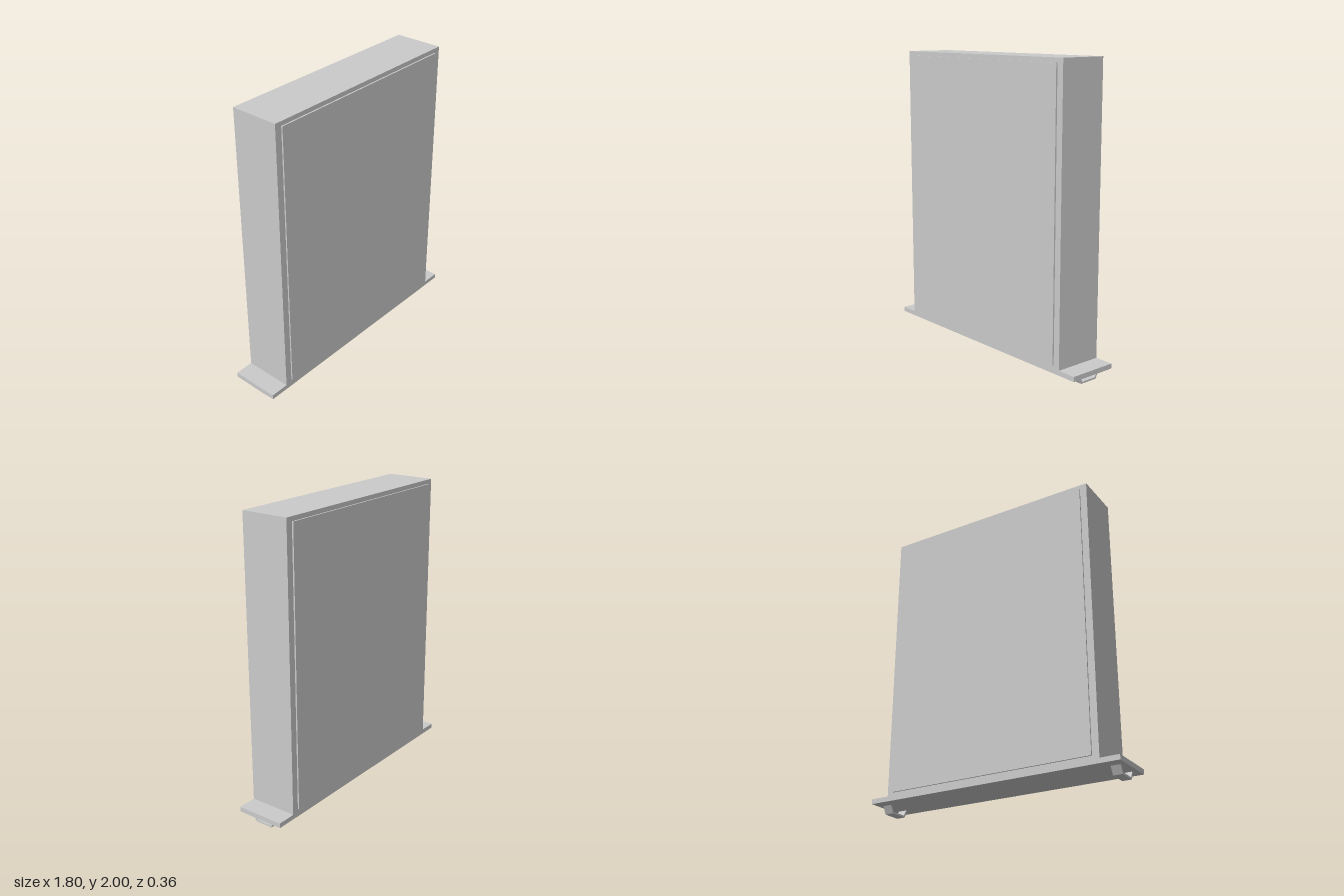
import * as THREE from 'three';

const material = new THREE.MeshStandardMaterial({ color: 0xcccccc });

// Extrudes an outline, centred on its depth axis
function extrude(name, points, depth) {
  const shape = new THREE.Shape(points.map(([x, y]) => new THREE.Vector2(x, y)));
  const geometry = new THREE.ExtrudeGeometry(shape, { depth, bevelEnabled: false });
  geometry.translate(0, 0, -depth / 2);
  const mesh = new THREE.Mesh(geometry, material);
  mesh.name = name;
  return mesh;
}

export function createModel() {
  const model = new THREE.Group();
  model.name = 'standingPanelCabinet';

  // Slab body and its wider base flange, flush at front and back
  model.add(extrude('bodyWithBase', [
    [-0.9, 0.052], [0.9, 0.052], [0.9, 0.085], [0.77, 0.085],
    [0.77, 2], [-0.77, 2], [-0.77, 0.085], [-0.9, 0.085],
  ], 0.336));

  // Thin raised panels on front and back
  for (const side of [1, -1]) {
    const panel = new THREE.Mesh(new THREE.BoxGeometry(1.446, 1.865, 0.012), material);
    panel.name = side > 0 ? 'frontPanel' : 'backPanel';
    panel.position.set(0, 1.038, side * 0.172);
    model.add(panel);
  }

  // Bent strap handles under each end of the base
  for (const side of [1, -1]) {
    const strap = extrude(side > 0 ? 'leftStrap' : 'rightStrap', [
      [-0.09, 0.052], [-0.064, 0], [0.064, 0], [0.09, 0.052],
      [0.077, 0.052], [0.056, 0.012], [-0.056, 0.012], [-0.077, 0.052],
    ], 0.062);
    strap.rotation.y = Math.PI / 2;
    strap.position.x = side * 0.833;
    model.add(strap);
  }

  return model;
}
